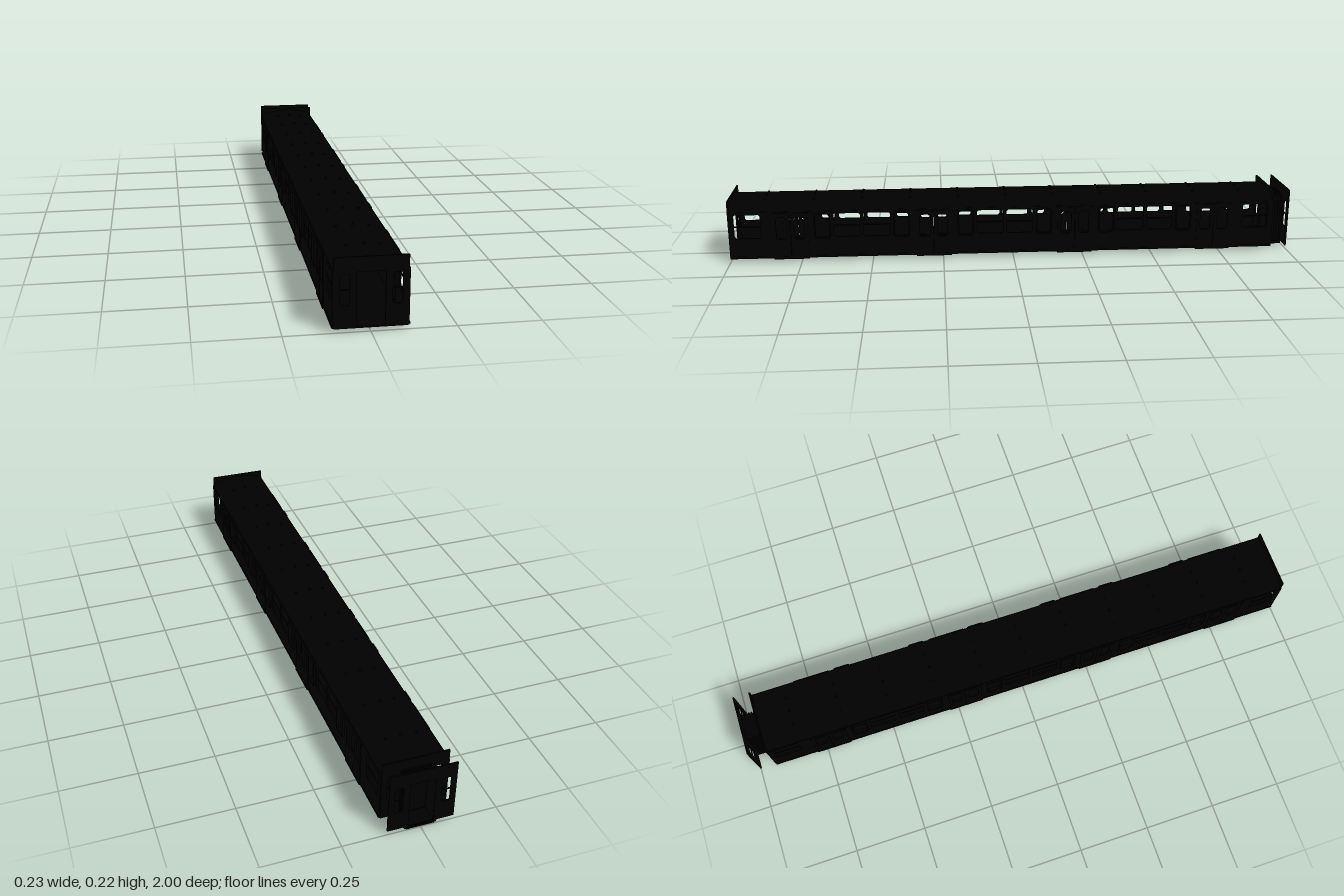
import * as THREE from 'three';

const black = new THREE.MeshStandardMaterial({ color: 0x000000 });

// closed rectangle path with slightly clipped corners
function rect(PathType, x0, x1, y0, y1, r = 0) {
  const pts = r
    ? [[x0 + r, y0], [x1 - r, y0], [x1, y0 + r], [x1, y1 - r], [x1 - r, y1], [x0 + r, y1], [x0, y1 - r], [x0, y0 + r]]
    : [[x0, y0], [x1, y0], [x1, y1], [x0, y1]];
  return new PathType(pts.map(([x, y]) => new THREE.Vector2(x, y)));
}

// flat panel with rectangular holes, extruded along its normal
function panel(outer, holes, depth) {
  const shape = rect(THREE.Shape, ...outer);
  holes.forEach(h => shape.holes.push(rect(THREE.Path, ...h)));
  return new THREE.ExtrudeGeometry(shape, { depth, bevelEnabled: false });
}

export function createModel() {
  const car = new THREE.Group();
  car.name = 'subwayCar';

  const add = (name, geometry, x = 0, y = 0, z = 0, parent = car) => {
    const mesh = new THREE.Mesh(geometry, black);
    mesh.name = name;
    mesh.position.set(x, y, z);
    parent.add(mesh);
    return mesh;
  };
  const box = (name, w, h, d, x, y, z) => add(name, new THREE.BoxGeometry(w, h, d), x, y, z);
  // panel drawn in (z, y), spanning x0..x0+depth
  const sidePanel = (name, outer, holes, depth, x0) => {
    const g = panel(outer, holes, depth);
    g.rotateY(-Math.PI / 2);
    add(name, g, x0 + depth);
  };

  const front = 1, rear = -0.94;
  const doorZ = [0.785, 0.283, -0.22, -0.724];
  const bayZ = [0.535, 0.03, -0.473];

  // window layout along the side
  const large = [[0.888, 0.98], [-0.922, -0.83]];
  const small = [];
  bayZ.forEach(c => {
    large.push([c + 0.006, c + 0.099], [c - 0.099, c - 0.006]);
    small.push([c + 0.115, c + 0.163], [c - 0.163, c - 0.115]);
  });

  for (const s of [1, -1]) {
    const at = (inner, depth) => (s > 0 ? inner : -inner - depth);
    // side wall with windows and doorways
    sidePanel('sideWall', [rear, front, 0.013, 0.18], [
      ...large.map(([a, b]) => [a, b, 0.088, 0.174, 0.005]),
      ...small.map(([a, b]) => [a, b, 0.088, 0.174, 0.005]),
      ...doorZ.map(c => [c - 0.059, c + 0.059, 0.02, 0.175]),
    ], 0.007, at(0.103, 0.007));

    // sash bars across the large windows
    large.forEach(([a, b]) => box('windowBar', 0.004, 0.004, b - a + 0.004, s * 0.1065, 0.13, (a + b) / 2));

    // raised frames around the narrow windows
    small.forEach(([a, b]) => sidePanel('windowFrame', [a - 0.005, b + 0.005, 0.083, 0.177, 0.006],
      [[a, b, 0.088, 0.173, 0.005]], 0.007, at(0.11, 0.007)));

    // double sliding doors, with sill and header
    doorZ.forEach(c => {
      for (const t of [1, -1]) {
        const m = c + t * 0.031;
        sidePanel('doorLeaf', [m - 0.0303, m + 0.0303, 0.014, 0.177],
          [[m - 0.018, m + 0.018, 0.083, 0.163, 0.006]], 0.007, at(0.106, 0.007));
      }
      box('doorSill', 0.012, 0.009, 0.124, s * 0.108, 0.0145, c);
      box('doorHeader', 0.006, 0.004, 0.13, s * 0.111, 0.178, c);
    });

    // rain gutter and lower edge rail
    box('gutter', 0.004, 0.004, front - rear, s * 0.108, 0.182, (front + rear) / 2);
    box('sideRail', 0.004, 0.005, front - rear, s * 0.1105, 0.018, (front + rear) / 2);

    // hanging straps
    for (let z = -0.88; z < 0.95; z += 0.06) box('strap', 0.002, 0.014, 0.008, s * 0.036, 0.17, z);
  }

  // floor
  box('floor', 0.212, 0.004, front - rear, 0, 0.0135, (front + rear) / 2);

  // arched roof
  const arch = new THREE.Shape();
  arch.moveTo(-0.11, 0.178);
  arch.lineTo(0.11, 0.178);
  arch.bezierCurveTo(0.107, 0.2, 0.075, 0.213, 0, 0.214);
  arch.bezierCurveTo(-0.075, 0.213, -0.107, 0.2, -0.11, 0.178);
  add('roof', new THREE.ExtrudeGeometry(arch, { depth: front - rear - 0.002, bevelEnabled: false, curveSegments: 12 }), 0, 0, rear + 0.001);

  // small roof vents
  for (let z = 0.875; z > -0.9; z -= 0.17) {
    for (const x of [-0.05, 0, 0.05]) {
      add('roofVent', new THREE.CylinderGeometry(0.004, 0.005, 0.012, 8), x, x ? 0.209 : 0.215, z);
    }
  }

  // end sheets: doorway, two windows, sash bars
  const endSheet = (name, z) => {
    const group = new THREE.Group();
    group.name = name;
    car.add(group);
    add('sheet', panel([-0.107, 0.107, 0.013, 0.223], [
      [-0.041, 0.041, 0.016, 0.178],
      [0.061, 0.089, 0.08, 0.173, 0.004],
      [-0.089, -0.061, 0.08, 0.173, 0.004],
    ], 0.005), 0, 0, z, group);
    for (const s of [1, -1]) add('sashBar', new THREE.BoxGeometry(0.03, 0.003, 0.004), s * 0.075, 0.127, z + 0.0025, group);
  };
  endSheet('frontEnd', front - 0.005);
  endSheet('rearEnd', rear - 0.003);
  endSheet('couplingEnd', -1);

  // gangway bellows: alternating wide and narrow folds
  const folds = 11, step = 0.05 / folds;
  for (let i = 0; i < folds; i++) {
    const w = i % 2 ? 0.043 : 0.048;
    add('bellowsFold', panel([-w, w, 0.003, i % 2 ? 0.187 : 0.19], [[-0.041, 0.041, 0.006, 0.178, 0.003]], step), 0, 0, -0.994 + i * step);
  }
  // lower gangway trough and walkway
  for (const s of [1, -1]) box('troughSide', 0.01, 0.011, 0.056, s * 0.047, 0.0085, -0.97);
  box('troughBase', 0.09, 0.004, 0.056, 0, 0.002, -0.97);
  box('walkway', 0.084, 0.002, 0.056, 0, 0.0125, -0.97);

  return car;
}
